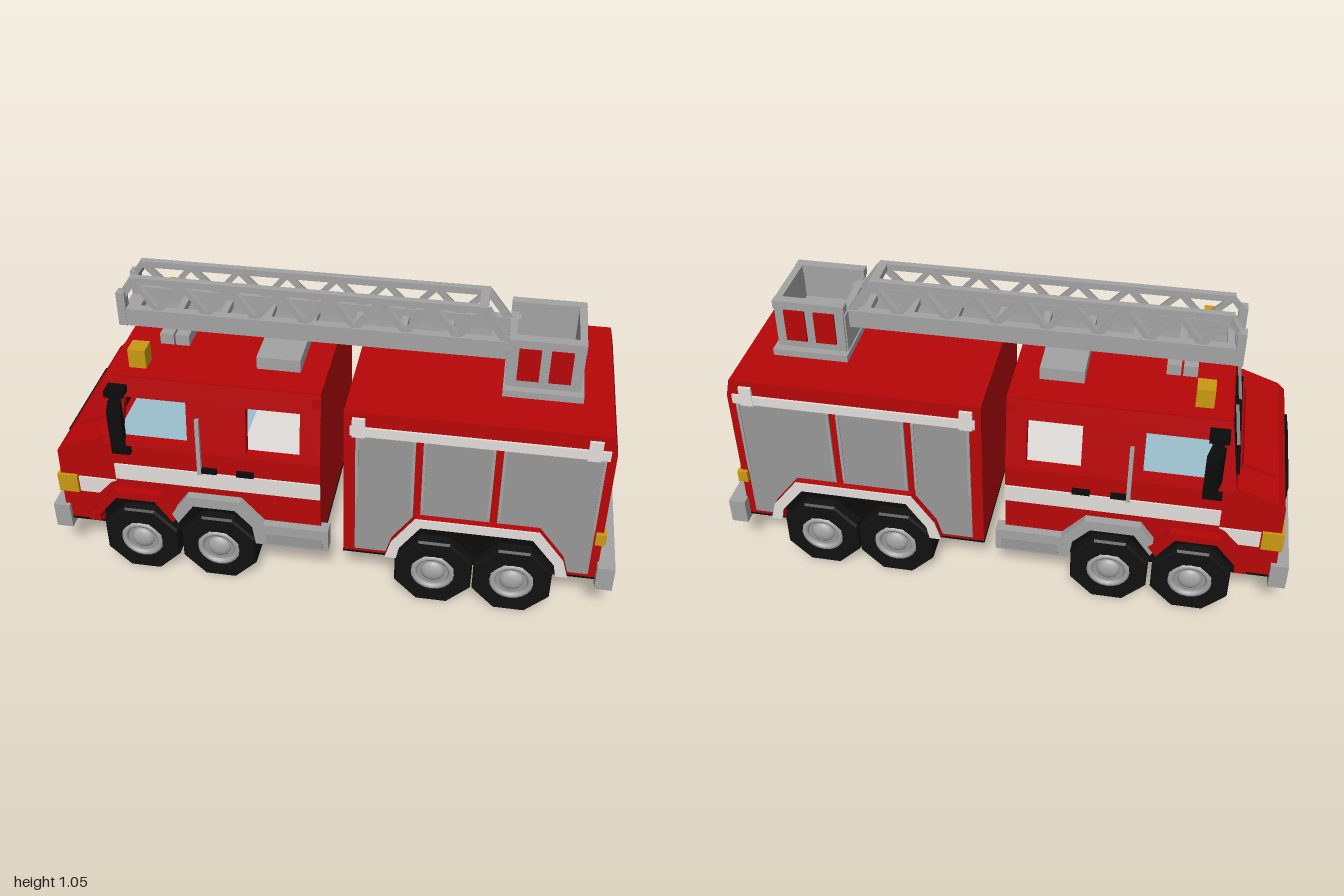
import * as THREE from 'three';

const colours = {
  red: 0xb80608, grey: 0xa4a4a4, shutter: 0x989898, white: 0xe2dedc,
  glass: 0x9cc0ce, amber: 0xcb9a12, black: 0x0b0b0b, tyre: 0x111111, fadedRed: 0xa65656,
};
const M = {};

export function createModel() {
  for (const [name, color] of Object.entries(colours)) {
    M[name] = new THREE.MeshStandardMaterial({ color });
    M[name].name = name;
  }
  const model = new THREE.Group();
  model.name = 'fireTruck';

  const add = (name, geo, mat, parent = model) => {
    const mesh = new THREE.Mesh(geo, mat);
    mesh.name = name;
    parent.add(mesh);
    return mesh;
  };
  // Box given by its extents on each axis
  const box = (name, mat, x0, x1, y0, y1, z0, z1) => {
    const mesh = add(name, new THREE.BoxGeometry(x1 - x0, y1 - y0, Math.abs(z1 - z0)), mat);
    mesh.position.set((x0 + x1) / 2, (y0 + y1) / 2, (z0 + z1) / 2);
    return mesh;
  };
  // Side outline (x, y) extruded between two z values
  const plate = (name, mat, pts, z0, z1, holes = []) => {
    const toV = (list) => list.map(([x, y]) => new THREE.Vector2(x, y));
    const shape = new THREE.Shape(toV(pts));
    holes.forEach((h) => shape.holes.push(new THREE.Path(toV(h))));
    const geo = new THREE.ExtrudeGeometry(shape, { depth: Math.abs(z1 - z0), bevelEnabled: false });
    geo.translate(0, 0, Math.min(z0, z1));
    return add(name, geo, mat);
  };
  // Square bar between two points
  const bar = (name, mat, a, b, w) => {
    const p = new THREE.Vector3(...a), q = new THREE.Vector3(...b);
    const mesh = add(name, new THREE.BoxGeometry(w, w, p.distanceTo(q)), mat);
    mesh.position.copy(p).add(q).multiplyScalar(0.5);
    mesh.lookAt(q);
  };
  const rect = (x0, x1, y0, y1) => [[x0, y0], [x1, y0], [x1, y1], [x0, y1]];

  // Lower cab with hood and wheel cutouts, and the rear body
  plate('cabLowerBody', M.red, [
    [-0.96, 0.2], [-0.82, 0.2], [-0.82, 0.25], [-0.75, 0.335], [-0.61, 0.335], [-0.55, 0.27],
    [-0.53, 0.27], [-0.47, 0.34], [-0.32, 0.34], [-0.25, 0.26], [-0.25, 0.2], [-0.02, 0.2],
    [-0.02, 0.55], [-0.78, 0.55], [-0.79, 0.575], [-0.93, 0.525], [-0.955, 0.5]], -0.34, 0.34);
  plate('rearBody', M.red, [
    [0.06, 0.185], [0.25, 0.185], [0.25, 0.24], [0.33, 0.35], [0.71, 0.35], [0.8, 0.24], [0.8, 0.185],
    [0.94, 0.185], [0.94, 0.72], [0.925, 0.785], [0.06, 0.785]], -0.335, 0.335);
  // Black wheel wells and flat underside
  box('cabWheelWell', M.black, -0.95, -0.03, 0.21, 0.4, -0.325, 0.325);
  box('rearWheelWell', M.black, 0.07, 0.93, 0.2, 0.4, -0.32, 0.32);
  box('cabUnderside', M.black, -0.955, -0.018, 0.192, 0.2005, -0.341, 0.341);
  box('rearUnderside', M.black, 0.058, 0.94, 0.178, 0.1855, -0.336, 0.336);

  // Upper cab: open shell leaning inwards towards the roof
  for (const s of [1, -1]) {
    const side = plate('cabSide', M.red,
      [[-0.79, 0.55], [-0.02, 0.55], [-0.02, 0.815], [-0.75, 0.815]], s * 0.31, s * 0.34,
      [[[-0.715, 0.575], [-0.48, 0.575], [-0.48, 0.74], [-0.69, 0.74]], rect(-0.275, -0.09, 0.565, 0.74)]);
    const pos = side.geometry.attributes.position;
    for (let i = 0; i < pos.count; i++) pos.setZ(i, pos.getZ(i) - s * 0.14 * (pos.getY(i) - 0.55));
    side.geometry.computeVertexNormals();
  }
  plate('cabRoof', M.red, [[-0.755, 0.775], [-0.02, 0.775], [-0.02, 0.82], [-0.748, 0.82]], -0.303, 0.303);
  box('cabBackWall', M.red, -0.05, -0.02, 0.55, 0.8, -0.31, 0.31);
  box('frontFloor', M.glass, -0.75, -0.3, 0.55, 0.556, -0.312, 0.312);
  box('rearFloor', M.white, -0.3, -0.05, 0.55, 0.556, -0.312, 0.312);
  box('windscreenSill', M.black, -0.795, -0.765, 0.565, 0.59, -0.27, 0.27);
  for (const z of [-0.13, 0.13]) bar('wiper', M.black, [-0.787, 0.585, z], [-0.77, 0.68, z + 0.1], 0.012);

  // Nose: grille, hood panel, bumper
  box('grille', M.black, -0.966, -0.955, 0.29, 0.49, -0.2, 0.2);
  for (let i = 0; i < 5; i++) box('grilleSlat', M.tyre, -0.97, -0.962, 0.31 + i * 0.037, 0.325 + i * 0.037, -0.18, 0.18);
  const hood = box('hoodPanel', M.red, -0.92, -0.8, 0.545, 0.565, -0.22, 0.22);
  hood.rotation.z = 0.34;
  box('frontBumper', M.grey, -1, -0.94, 0.16, 0.26, -0.355, 0.355);
  box('frontPlate', M.amber, -1.004, -0.996, 0.18, 0.235, -0.06, 0.06);

  // Tail: bumper, windows, panels with a faded surround
  box('rearBumper', M.grey, 0.935, 0.995, 0.165, 0.26, -0.37, 0.37);
  box('rearPlate', M.amber, 0.99, 1, 0.165, 0.222, -0.075, 0.075);
  const surround = plate('rearDoorTrim', M.fadedRed, [
    [-0.2, 0.29], [0.2, 0.29], [0.245, 0.33], [0.235, 0.53], [-0.235, 0.53], [-0.245, 0.33]], 0, 0.004);
  surround.rotation.y = Math.PI / 2;
  surround.position.x = 0.939;
  for (const s of [1, -1]) {
    box('rearWindow', M.glass, 0.938, 0.947, 0.57, 0.685, s * 0.025, s * 0.235);
    box('rearPanel', M.grey, 0.94, 0.948, 0.33, 0.53, s * 0.025, s * 0.235);
    box('bumperLight', M.white, 0.99, 0.999, 0.185, 0.23, s * 0.22, s * 0.335);
    box('tailLight', M.amber, 0.915, 0.95, 0.345, 0.39, s * 0.31, s * 0.35);
    box('headlight', M.amber, -0.967, -0.895, 0.325, 0.4, s * 0.25, s * 0.35);
  }

  // Parts repeated on both sides
  const shutters = [
    [[0.1, 0.2], [0.23, 0.2], [0.23, 0.26], [0.3, 0.36], [0.3, 0.69], [0.1, 0.69]],
    [[0.325, 0.38], [0.56, 0.38], [0.56, 0.69], [0.325, 0.69]],
    [[0.585, 0.38], [0.72, 0.38], [0.81, 0.26], [0.82, 0.2], [0.91, 0.2], [0.91, 0.69], [0.585, 0.69]]];
  const rearArch = [
    [0.21, 0.2], [0.25, 0.2], [0.26, 0.25], [0.33, 0.35], [0.71, 0.35], [0.79, 0.25], [0.8, 0.2],
    [0.84, 0.2], [0.82, 0.27], [0.73, 0.385], [0.31, 0.385], [0.23, 0.27]];
  for (const s of [1, -1]) {
    const z = s * 0.34, rz = s * 0.335;
    // Cab stripes, handles, rail
    plate('cabStripe', M.white, rect(-0.75, -0.02, 0.405, 0.47), z, z + s * 0.006);
    plate('frontStripe', M.white, [[-0.89, 0.33], [-0.82, 0.33], [-0.77, 0.385], [-0.75, 0.395], [-0.89, 0.395]], z, z + s * 0.006);
    for (const x of [-0.41, -0.28]) box('doorHandle', M.black, x - 0.03, x + 0.03, 0.475, 0.493, z, z + s * 0.014);
    bar('grabRail', M.grey, [-0.44, 0.47, z + s * 0.01], [-0.44, 0.69, z - s * 0.006], 0.014);

    // Wheel arches and step
    plate('frontArch', M.red, [
      [-0.86, 0.22], [-0.82, 0.22], [-0.82, 0.25], [-0.75, 0.335], [-0.61, 0.335], [-0.55, 0.25],
      [-0.52, 0.29], [-0.59, 0.365], [-0.76, 0.365], [-0.86, 0.25]], z, z + s * 0.03);
    plate('stepArch', M.grey, [
      [-0.53, 0.25], [-0.47, 0.335], [-0.32, 0.335], [-0.26, 0.27], [-0.25, 0.195], [0.01, 0.195], [0.01, 0.285],
      [-0.22, 0.285], [-0.3, 0.375], [-0.49, 0.375], [-0.55, 0.29]], z - s * 0.02, z + s * 0.03);
    plate('stepPanel', M.shutter, rect(-0.21, -0.01, 0.205, 0.25), z + s * 0.03, z + s * 0.034);
    plate('rearArchBase', M.red, rearArch, rz, rz + s * 0.028);
    plate('rearArchBand', M.white, rearArch, rz + s * 0.028, rz + s * 0.034);

    // Roller shutters, frames and the roll housing
    shutters.forEach((p) => plate('shutter', M.shutter, p, rz, rz + s * 0.004));
    for (const [a, b] of [[0.1, 0.3], [0.325, 0.56], [0.585, 0.91]]) {
      for (const x of [a, b - 0.01]) box('shutterFrame', M.grey, x, x + 0.01, 0.4, 0.69, rz, rz + s * 0.008);
    }
    box('shutterHousing', M.white, 0.08, 0.92, 0.695, 0.73, rz, rz + s * 0.008);
    for (const x of [0.11, 0.87]) box('housingCap', M.white, x - 0.022, x + 0.022, 0.69, 0.765, rz, rz + s * 0.01);

    // Mirror on two arms
    const mirror = box('mirror', M.black, -0.73, -0.685, 0.6, 0.745, s * 0.342, s * 0.41);
    mirror.rotation.y = s * 0.25;
    box('mirrorPost', M.black, -0.73, -0.7, 0.53, 0.785, s * 0.33, s * 0.355);
    for (const y of [0.54, 0.775]) box('mirrorArm', M.black, -0.745, -0.68, y - 0.012, y + 0.012, s * 0.3, s * 0.36);

    // Beacon
    box('beacon', M.amber, -0.685, -0.625, 0.815, 0.89, s * 0.19, s * 0.252);

    // Wheels
    for (const x of [-0.675, -0.39, 0.38, 0.655]) {
      const wheel = new THREE.Group();
      wheel.name = 'wheel';
      wheel.position.set(x, 0.147, s * 0.298);
      if (s < 0) wheel.rotation.y = Math.PI;
      model.add(wheel);
      const profile = [[0.07, -0.067], [0.14, -0.067], [0.146, -0.058], [0.146, 0.058], [0.14, 0.067], [0.08, 0.067], [0.075, 0.045]];
      const tyreGeo = new THREE.LatheGeometry(profile.map(([r, h]) => new THREE.Vector2(r, h)), 8).toNonIndexed();
      tyreGeo.computeVertexNormals();
      tyreGeo.rotateX(Math.PI / 2).rotateZ(Math.PI / 8);
      add('tyre', tyreGeo, M.tyre, wheel);
      add('rim', new THREE.CylinderGeometry(0.08, 0.08, 0.11, 20).rotateX(Math.PI / 2), M.shutter, wheel);
      add('rimRing', new THREE.TorusGeometry(0.067, 0.012, 8, 20), M.grey, wheel).position.z = 0.06;
      const cap = add('hubCap', new THREE.SphereGeometry(0.043, 14, 8), M.grey, wheel);
      cap.position.z = 0.053;
      cap.scale.z = 0.5;
      add('innerHub', new THREE.CylinderGeometry(0.1, 0.1, 0.01, 12).rotateX(Math.PI / 2), M.shutter, wheel).position.z = -0.067;
    }
  }

  // Roof fittings
  box('roofVent', M.grey, -0.26, -0.11, 0.815, 0.866, -0.19, 0.19);
  for (const x of [-0.6, -0.545]) box('roofHorn', M.grey, x - 0.024, x + 0.024, 0.815, 0.86, -0.09, 0.09);

  // Turret basket with open top
  box('turretBase', M.grey, 0.56, 0.825, 0.78, 0.81, -0.165, 0.165);
  box('basketFloor', M.grey, 0.575, 0.8, 0.81, 0.86, -0.13, 0.13);
  for (const s of [1, -1]) {
    box('basketSide', M.grey, 0.57, 0.81, 0.81, 0.985, s * 0.11, s * 0.137);
    box('basketLip', M.grey, 0.565, 0.815, 0.96, 0.99, s * 0.105, s * 0.14);
    for (const x of [0.601, 0.705]) box('basketPanel', M.red, x, x + 0.072, 0.84, 0.96, s * 0.137, s * 0.146);
  }
  box('basketBack', M.grey, 0.79, 0.815, 0.81, 0.988, -0.13, 0.13);
  box('basketFront', M.grey, 0.565, 0.59, 0.81, 0.95, -0.13, 0.13);

  // Ladder: solid lower rails, inward-leaning truss above, rungs between
  for (const s of [1, -1]) {
    const low = s * 0.078, top = s * 0.06;
    box('ladderRail', M.grey, -0.745, 0.6, 0.885, 0.95, s * 0.062, s * 0.094);
    box('ladderTopRail', M.grey, -0.72, 0.49, 1.037, 1.06, s * 0.048, s * 0.072);
    box('ladderEndPost', M.grey, -0.765, -0.735, 0.885, 1.01, s * 0.06, s * 0.096);
    bar('ladderEndBrace', M.grey, [-0.75, 0.99, low], [-0.71, 1.048, top], 0.022);
    bar('ladderRearBrace', M.grey, [0.485, 1.048, top], [0.56, 0.94, low], 0.024);
    const n = 14, step = 1.19 / n;
    for (let i = 0; i < n; i++) {
      const x = -0.71 + i * step;
      const a = [1.045, top], b = [0.945, low];
      const [p, q] = i % 2 ? [b, a] : [a, b];
      bar('ladderStrut', M.grey, [x, ...p], [x + step, ...q], 0.019);
    }
  }
  for (let i = 0; i < 9; i++) {
    const x = -0.72 + i * 0.155;
    box('ladderRung', M.grey, x - 0.012, x + 0.012, 0.9, 0.925, -0.07, 0.07);
  }
  box('ladderBed', M.shutter, -0.74, 0.56, 0.887, 0.897, -0.07, 0.07);
  box('ladderTipBar', M.grey, -0.765, -0.735, 0.885, 0.92, -0.08, 0.08);
  box('ladderTopBar', M.grey, 0.46, 0.49, 1.037, 1.06, -0.06, 0.06);
  return model;
}
